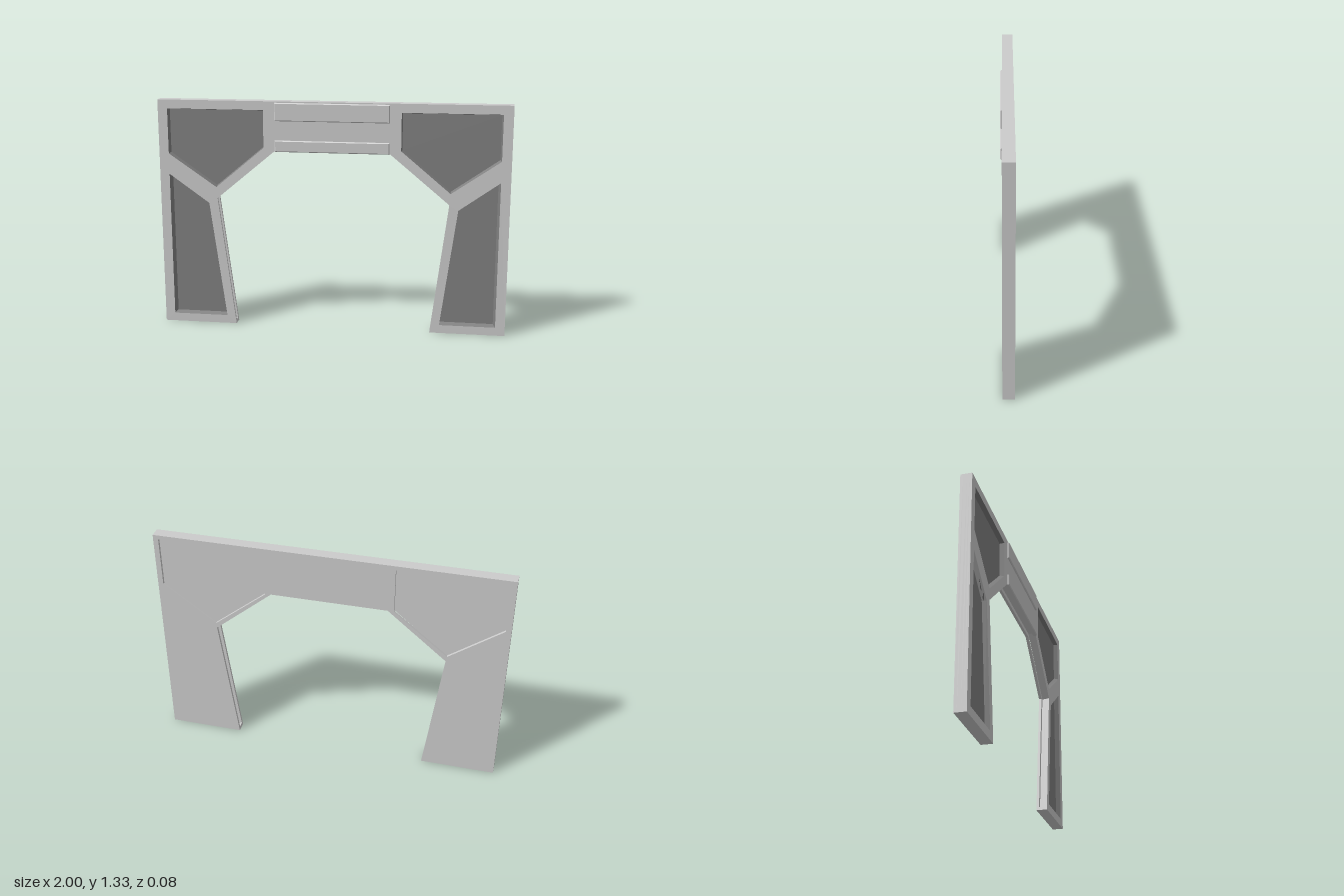
import * as THREE from 'three';

const grey = new THREE.MeshStandardMaterial({ color: 0xcccccc, flatShading: true });
const dark = new THREE.MeshStandardMaterial({ color: 0x808080, flatShading: true, side: THREE.DoubleSide });

const vecs = (pts) => pts.map(([x, y]) => new THREE.Vector2(x, y));
const mirror = (pts) => pts.map(([x, y]) => [-x, y]).reverse();
const bothSides = (list) => list.flatMap((p) => [p, mirror(p)]);

// Portal silhouette: outer rectangle with a six-sided opening (right half given)
const TOP = 1.325;
function portal(opening) {
  const half = [...opening].reverse();
  return [[1, 0], [1, TOP], [-1, TOP], [-1, 0], ...mirror(half), ...half];
}
const fullOutline = portal([[0.57, 0], [0.665, 0.76], [0.33, 1.04]]);
const insetOutline = portal([[0.595, 0], [0.691, 0.768], [0.339, 1.064]]);

// Recess mouths and their slightly smaller floors
const upperMouth = [[0.945, 1.275], [0.39, 1.275], [0.39, 1.06], [0.67, 0.825], [0.945, 1.015]];
const upperFloor = [[0.937, 1.27], [0.395, 1.27], [0.395, 1.062], [0.67, 0.833], [0.937, 1.02]];
const lowerMouth = [[0.945, 0.895], [0.715, 0.73], [0.625, 0.048], [0.945, 0.048]];
const lowerFloor = [[0.932, 0.886], [0.715, 0.73], [0.627, 0.06], [0.932, 0.06]];
const backMouth = [[0.97, 1.3], [0.365, 1.3], [0.365, 1.035], [0.67, 0.79], [0.97, 1.01]];

const FRONT = 0.028, FLOOR = 0, BACK = -0.037;

// Flat slab from z0 to z1 with optional holes
function slab(name, outline, holes, z0, z1) {
  const shape = new THREE.Shape(vecs(outline));
  shape.holes = holes.map((h) => new THREE.Path(vecs(h)));
  const geo = new THREE.ExtrudeGeometry(shape, { depth: z1 - z0, bevelEnabled: false });
  geo.translate(0, 0, z0);
  const mesh = new THREE.Mesh(geo, grey);
  mesh.name = name;
  return mesh;
}

// Dark recessed panel: floor plus sloping side walls up to the mouth
function recess(name, mouth, floor) {
  const group = new THREE.Group();
  group.name = name;
  const base = new THREE.Mesh(new THREE.ShapeGeometry(new THREE.Shape(vecs(floor))), dark);
  base.name = name + 'Floor';
  base.position.z = FLOOR + 0.001;

  const pos = [], index = [], n = mouth.length;
  for (let i = 0; i < n; i++) {
    pos.push(...mouth[i], FRONT, ...floor[i], FLOOR + 0.001);
    const a = 2 * i, b = 2 * ((i + 1) % n);
    index.push(a, b, a + 1, b, b + 1, a + 1);
  }
  const wallGeo = new THREE.BufferGeometry();
  wallGeo.setAttribute('position', new THREE.Float32BufferAttribute(pos, 3));
  wallGeo.setIndex(index);
  wallGeo.computeVertexNormals();
  const walls = new THREE.Mesh(wallGeo, dark);
  walls.name = name + 'Walls';
  group.add(base, walls);
  return group;
}

// Raised bar with chamfered front edges
function bar(name, y0, y1) {
  const c = 0.005, w = 0.325 - c;
  const shape = new THREE.Shape(vecs([[-w, y0 + c], [w, y0 + c], [w, y1 - c], [-w, y1 - c]]));
  const geo = new THREE.ExtrudeGeometry(shape, {
    depth: 0.01, bevelEnabled: true, bevelThickness: c, bevelSize: c, bevelSegments: 1,
  });
  geo.translate(0, 0, 0.038 - c - 0.01);
  const mesh = new THREE.Mesh(geo, grey);
  mesh.name = name;
  return mesh;
}

export function createModel() {
  const model = new THREE.Group();
  model.name = 'portalWall';

  // Layers: the inset core leaves a groove around the opening
  const frontHoles = bothSides([upperMouth, lowerMouth]);
  model.add(
    slab('frontFrame', fullOutline, frontHoles, 0.013, FRONT),
    slab('frontCore', insetOutline, frontHoles, FLOOR, 0.013),
    slab('backCore', insetOutline, [], -0.021, FLOOR),
    slab('backFrame', fullOutline, bothSides([backMouth]), BACK, -0.021),
  );

  // Dark front panels
  for (const [side, f] of [['left', (p) => p], ['right', mirror]]) {
    model.add(
      recess(side + 'UpperPanel', f(upperMouth), f(upperFloor)),
      recess(side + 'LowerPanel', f(lowerMouth), f(lowerFloor)),
    );
    // Cap closing the groove at the foot
    const cap = f([[0.57, 0], [0.6, 0], [0.6, 0.02], [0.5725, 0.02]]);
    model.add(slab(side + 'FootCap', cap, [], -0.021, 0.013));
  }

  // Raised bars on the lintel
  model.add(bar('upperLintelBar', 1.215, 1.318), bar('lowerLintelBar', 1.04, 1.105));
  return model;
}
